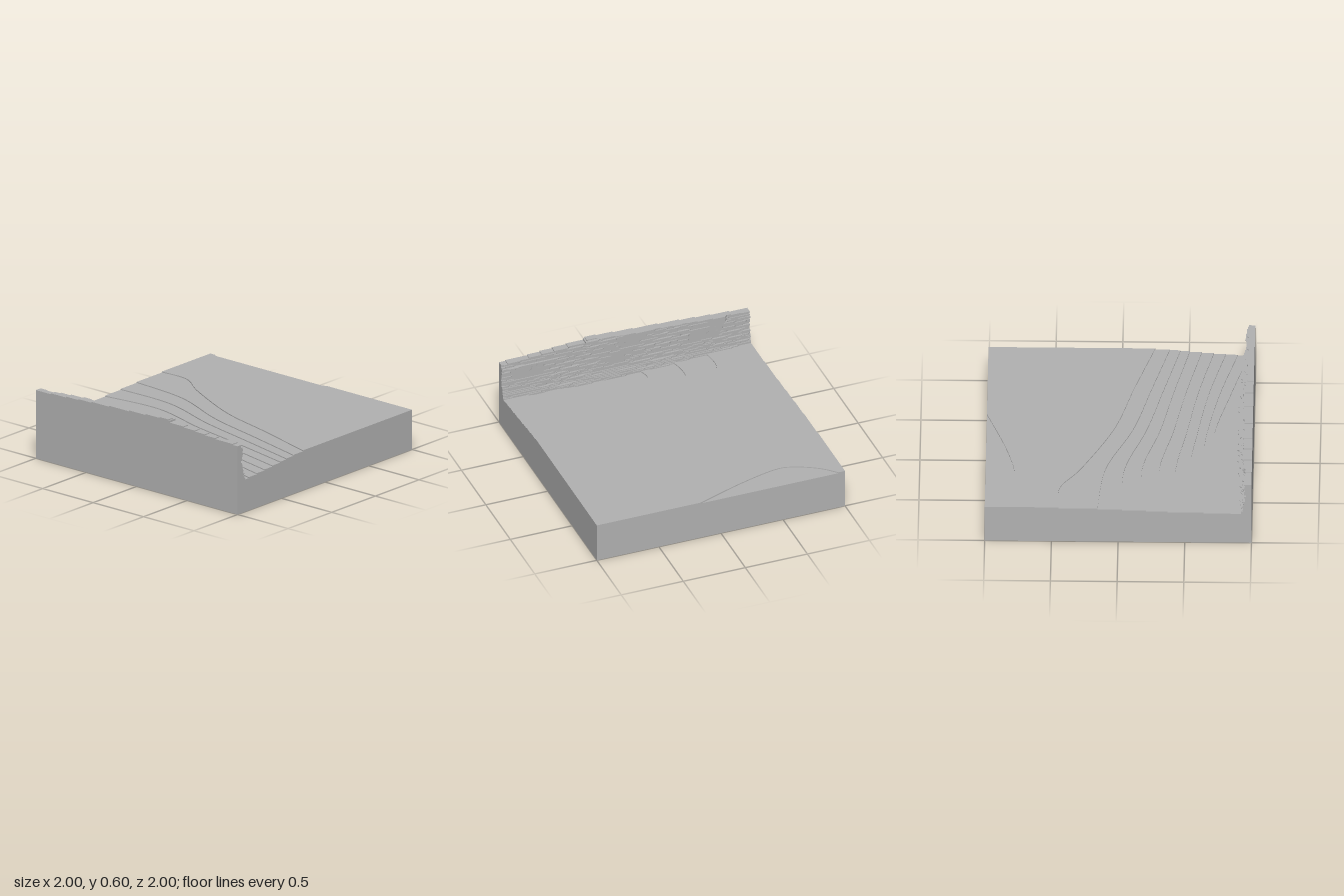
import * as THREE from 'three';
import { mergeGeometries } from 'three/addons/utils/BufferGeometryUtils.js';

const STEP = 0.0075; // thickness of one terrace layer
const BASE = 0.2475; // top of the plain block

// horizontal slab from an outline of [x, z] points
function slab(points, y, height) {
  const shape = new THREE.Shape(points.map(([x, z]) => new THREE.Vector2(x, -z)));
  const geo = new THREE.ExtrudeGeometry(shape, { depth: height, bevelEnabled: false });
  geo.rotateX(-Math.PI / 2);
  geo.translate(0, y, 0);
  return geo;
}

// smooth line through [x, z] points
function smooth(points, n = 48) {
  const curve = new THREE.SplineCurve(points.map((p) => new THREE.Vector2(...p)));
  return curve.getPoints(n).map((p) => [Math.max(p.x, -1), THREE.MathUtils.clamp(p.y, -1, 1)]);
}

// linear lookup in a list of [key, value] pairs with rising keys
function lookup(table, k) {
  for (let i = 1; i < table.length; i++) {
    const [a, va] = table[i - 1], [b, vb] = table[i];
    if (k <= b) return va + (vb - va) * Math.max(0, (k - a) / (b - a));
  }
  return table[table.length - 1][1];
}

// edge of each terrace, lowest first, running from front to back
const contours = [
  [[-0.95, 1], [-0.82, 0.5], [-0.72, 0.1], [-0.72, -0.05], [-0.82, -0.12], [-1, -0.05]],
  [[-0.87, 1], [-0.74, 0.5], [-0.65, 0], [-0.64, -0.25], [-0.69, -0.38], [-0.85, -0.38], [-1, -0.32]],
  [[-0.78, 1], [-0.66, 0.5], [-0.58, 0], [-0.54, -0.35], [-0.6, -0.56], [-0.75, -0.65], [-1, -0.62]],
  [[-0.69, 1], [-0.58, 0.5], [-0.5, 0], [-0.43, -0.4], [-0.44, -0.62], [-0.64, -1]],
  [[-0.6, 1], [-0.49, 0.5], [-0.4, 0], [-0.3, -0.5], [-0.37, -1]],
  [[-0.51, 1], [-0.4, 0.5], [-0.3, 0], [-0.17, -0.5], [-0.21, -1]],
  [[-0.44, 1], [-0.32, 0.5], [-0.2, 0], [-0.04, -0.5], [-0.03, -1]],
  [[-0.36, 1], [-0.23, 0.5], [-0.1, 0], [0.1, -0.5], [0.155, -1]],
  [[-0.25, 1], [-0.1, 0.5], [0.04, 0], [0.28, -0.5], [0.44, -0.75], [0.445, -1]],
];
// shallow dip in the top terrace at the +x edge
const dip = [[1, -0.95], [0.89, -0.83], [0.8, -0.65], [0.79, -0.5], [0.87, -0.2], [1, 0.16]];

// cliff crest height along z, and cliff face position by height
const crest = [[-1, 0.54], [-0.8, 0.546], [-0.4, 0.57], [0, 0.585], [0.2, 0.596], [0.32, 0.602],
  [0.335, 0.576], [0.45, 0.576], [0.6, 0.566], [0.8, 0.55], [1, 0.543]];
const face = [[0.25, -0.89], [0.268, -0.895], [0.285, -0.91], [0.31, -0.932], [0.35, -0.942],
  [0.4, -0.95], [0.47, -0.947], [0.52, -0.938], [0.57, -0.932], [0.585, -0.935], [0.602, -0.945]];

function cliffEdge(y, z, layer) {
  const s = Math.floor(layer / 2);
  const noise = 0.008 * Math.sin(z * 7 + s * 2.3) * Math.sin(z * 3.1 + s * 1.7)
    + 0.004 * Math.sin(z * 19 + s * 4.1);
  const lip = y > 0.5 && (z > 0.33 || z < -0.8) ? -0.014 : 0; // thinner rim at both ends
  const foot = y < 0.3 ? -0.015 * z * z : 0;
  const x = lookup(face, y) + noise + lip + foot;
  return Math.round(x / STEP) * STEP;
}

export function createModel() {
  const model = new THREE.Group();
  const stone = new THREE.MeshStandardMaterial({ color: 0xb2b2b2 });
  stone.name = 'grey stone';
  const add = (geo, name) => {
    const mesh = new THREE.Mesh(geo, stone);
    mesh.name = name;
    model.add(mesh);
  };

  // plain block below the terrain
  const block = new THREE.BoxGeometry(2, BASE, 2);
  block.translate(0, BASE / 2, 0);
  add(block, 'baseBlock');

  // stacked ground terraces
  const terraces = contours.map((c, i) => {
    const outline = smooth(c);
    if (c[c.length - 1][0] === -1) outline.push([-1, -1]);
    outline.push([1, -1]);
    if (i === contours.length - 1) outline.push(...smooth(dip));
    outline.push([1, 1]);
    return slab(outline, BASE + i * STEP, STEP);
  });
  add(mergeGeometries(terraces), 'groundTerraces');

  // cliff built of thin rock strata with a ragged inner face
  const strata = [];
  for (let k = 0; k < 47; k++) {
    const y = BASE + k * STEP;
    const edge = [];
    for (let i = 0; i <= 160; i++) {
      const z = -1 + i / 80;
      if (lookup(crest, z) >= y + STEP * 0.6) edge.push([cliffEdge(y + STEP / 2, z, k), z]);
    }
    if (edge.length < 2) continue;
    const first = edge[0][1], last = edge[edge.length - 1][1];
    strata.push(slab([[-1, first], ...edge, [-1, last]], y, STEP));
  }
  add(mergeGeometries(strata), 'cliffStrata');

  return model;
}
